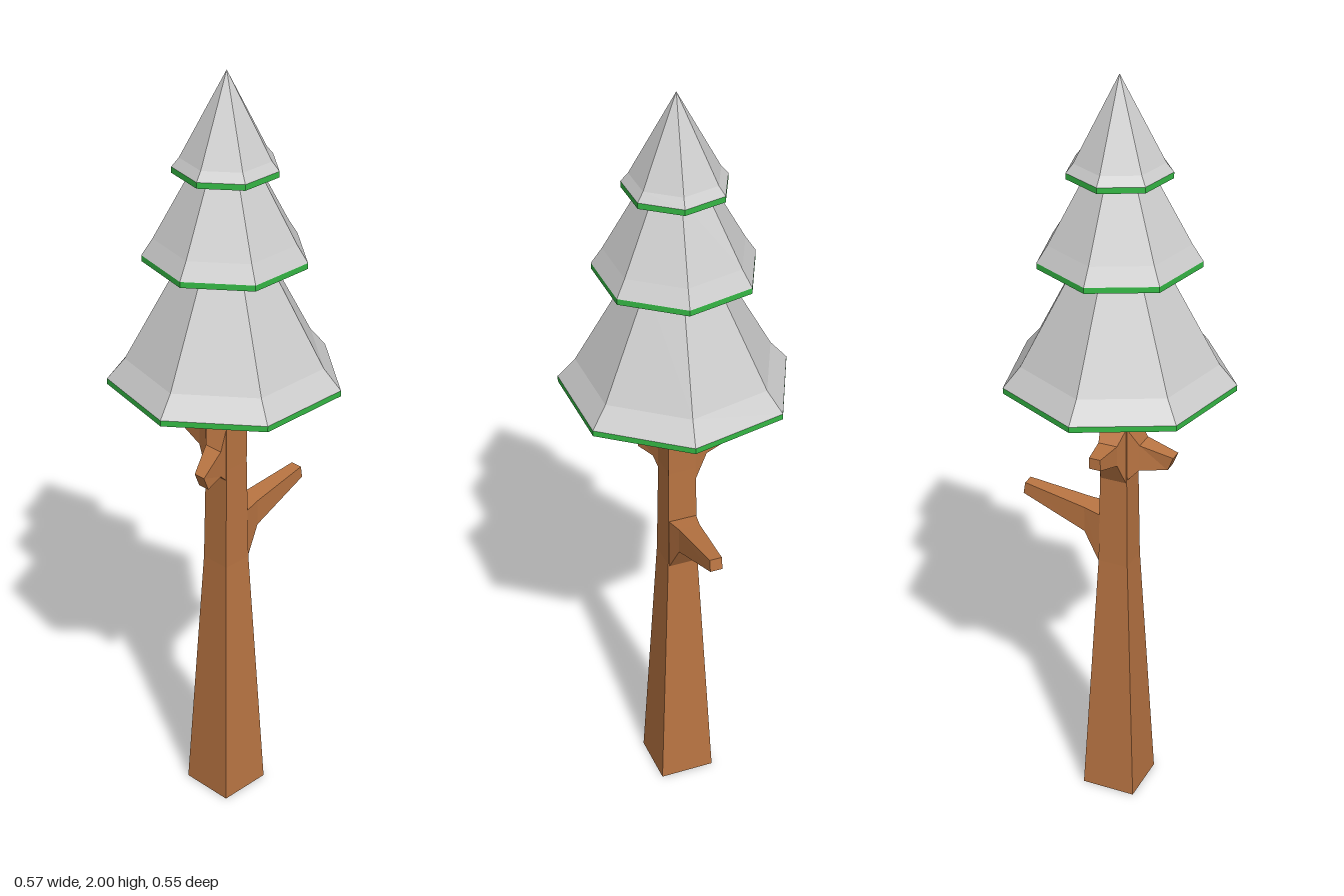
import * as THREE from 'three';

const AXIS_Z = 0.015; // the tree axis sits slightly forward

const bark = new THREE.MeshStandardMaterial({ color: 0xb87442, flatShading: true });
const needles = new THREE.MeshStandardMaterial({ color: 0x35b845, flatShading: true });
const snow = new THREE.MeshStandardMaterial({ color: 0xcccccc, flatShading: true });

// Faceted solid of revolution from [radius, y] pairs, bottom to top
function facetedLathe(name, profile, sides, startAngle, material) {
  const points = profile.map(([r, y]) => new THREE.Vector2(r, y));
  const mesh = new THREE.Mesh(new THREE.LatheGeometry(points, sides, startAngle), material);
  mesh.name = name;
  return mesh;
}

// Four-sided branch growing along (dx, dz).
// Each section: [reach at bottom, reach at top, bottom y, top y, half width, sideways shift]
function branch(name, dx, dz, sections) {
  const positions = [];
  const indices = [];
  for (const [outLow, outHigh, low, high, half, shift] of sections) {
    for (const [out, y, side] of [
      [outLow, low, shift - half], [outLow, low, shift + half],
      [outHigh, high, shift + half], [outHigh, high, shift - half],
    ]) {
      positions.push(dx * out - dz * side, y, dz * out + dx * side);
    }
  }
  for (let s = 0; s < sections.length - 1; s++) {
    for (let i = 0; i < 4; i++) {
      const a = s * 4 + i, b = s * 4 + (i + 1) % 4;
      indices.push(a, a + 4, b, b, a + 4, b + 4);
    }
  }
  const e = (sections.length - 1) * 4;
  indices.push(e, e + 2, e + 1, e, e + 3, e + 2); // tip
  const geometry = new THREE.BufferGeometry();
  geometry.setAttribute('position', new THREE.Float32BufferAttribute(positions, 3));
  geometry.setIndex(indices);
  geometry.computeVertexNormals();
  const mesh = new THREE.Mesh(geometry, bark);
  mesh.name = name;
  return mesh;
}

export function createModel() {
  const tree = new THREE.Group();
  tree.name = 'snowyPine';
  const body = new THREE.Group();
  body.name = 'treeBody';
  body.position.z = AXIS_Z;
  tree.add(body);

  // Square tapering trunk
  const d = Math.SQRT2;
  body.add(facetedLathe('trunk',
    [[0, 0], [0.072 * d, 0], [0.04 * d, 0.7], [0.036 * d, 0.98], [0.036 * d, 1.22]],
    4, Math.PI / 4, bark));

  // Long left branch, short right branch bending forward, short back branch
  body.add(branch('leftBranch', 1, 0, [
    [0.038, 0.036, 0.69, 0.834, 0.037, 0],
    [0.085, 0.085, 0.77, 0.84, 0.028, 0],
    [0.262, 0.257, 0.833, 0.865, 0.016, 0],
  ]));
  body.add(branch('rightBranch', -1, 0, [
    [0.034, 0.034, 0.95, 1.1, 0.035, 0],
    [0.06, 0.06, 0.975, 1.045, 0.026, -0.015],
    [0.12, 0.135, 0.97, 1.007, 0.016, -0.042],
  ]));
  body.add(branch('backBranch', 0, -1, [
    [0.034, 0.034, 0.94, 1.1, 0.035, 0],
    [0.07, 0.07, 1.01, 1.065, 0.025, 0],
    [0.147, 0.147, 1.035, 1.065, 0.015, 0],
  ]));

  // Seven-sided tiers: green disc below, flared snow skirt above
  const tiers = [
    { name: 'lower', y: 1.213, rim: 0.291, kink: [0.247, 1.28], top: [0.105, 1.54] },
    { name: 'middle', y: 1.535, rim: 0.202, kink: [0.175, 1.592], top: [0.08, 1.765] },
    { name: 'upper', y: 1.755, rim: 0.129, kink: [0.111, 1.792], top: [0, 2] },
  ];
  for (const { name, y, rim, kink, top } of tiers) {
    const edge = y + 0.015;
    body.add(facetedLathe(name + 'Needles', [[0, y], [rim, y], [rim, edge]], 7, Math.PI, needles));
    body.add(facetedLathe(name + 'Snow', [[rim, edge], kink, top], 7, Math.PI, snow));
  }
  return tree;
}
